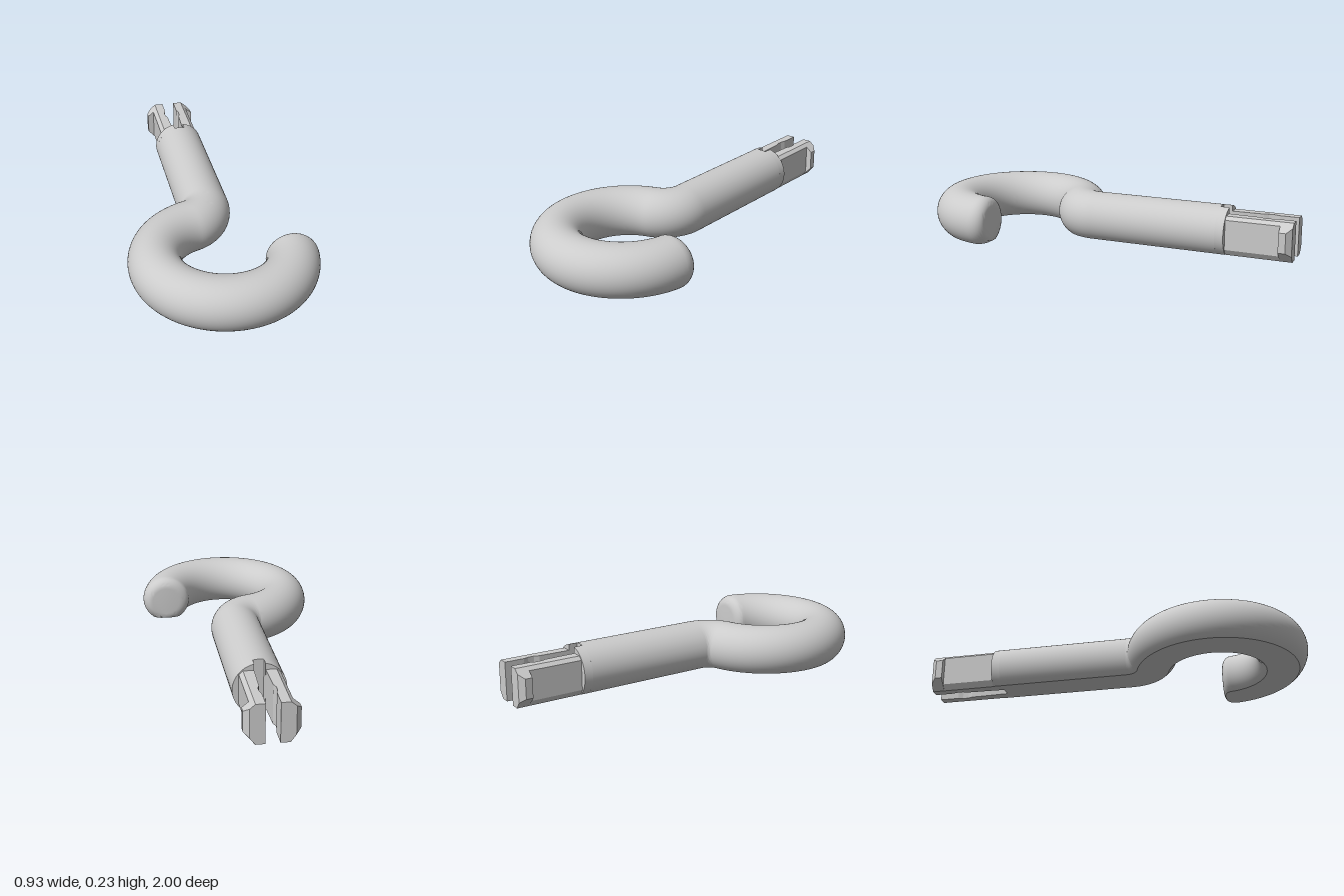
import * as THREE from 'three';
import { toCreasedNormals } from 'three/addons/utils/BufferGeometryUtils.js';

const R = 0.132, CY = 0.103;            // rod radius and height of its axis
const RING = 0.337, RING_Z = 0.53;      // hook ring
const BEND = 0.15, BEND_Z = 0.067;      // neck bend
const material = new THREE.MeshStandardMaterial({ color: 0xcccccc });

// Skins a list of equal-length closed convex sections, with end caps
function loft(name, sections, crease) {
  const n = sections[0].length, last = (sections.length - 1) * n, index = [];
  for (let i = 0; i < sections.length - 1; i++) {
    for (let j = 0; j < n; j++) {
      const k = (j + 1) % n, a = i * n + j, b = i * n + k;
      index.push(a, b, b + n, a, b + n, a + n);
    }
  }
  for (let j = 1; j < n - 1; j++) {
    index.push(0, j + 1, j, last, last + j, last + j + 1);
  }
  const geometry = new THREE.BufferGeometry();
  geometry.setAttribute('position', new THREE.Float32BufferAttribute(sections.flat(2), 3));
  geometry.setIndex(index);
  const mesh = new THREE.Mesh(toCreasedNormals(geometry, crease), material);
  mesh.name = name;
  return mesh;
}

// Round section with a flat underside at y = 0, across direction (nx, nz)
function rodSection(x, z, nx, nz, r = R) {
  const low = r > CY ? Math.asin(CY / r) : Math.PI / 2;
  const points = [], steps = 44;
  for (let i = 0; i <= steps; i++) {
    const a = -low + (Math.PI + 2 * low) * i / steps;
    const u = r * Math.cos(a);
    points.push([x + nx * u, Math.max(0, CY + r * Math.sin(a)), z + nz * u]);
  }
  return points;
}

// Hook, neck and shaft as one swept rod
function hookRod() {
  const sections = [];
  const onRing = (t, r) => {
    const c = Math.cos(t), s = Math.sin(t);
    sections.push(rodSection(RING * c, RING_Z + RING * s, c, s, r));
  };
  const fillet = 0.055, tipAngle = fillet / RING;
  const meet = Math.atan2(RING_Z - BEND_Z, BEND);
  // rounded tip
  for (let i = 0; i < 8; i++) {
    const a = i / 8 * Math.PI / 2;
    onRing(tipAngle * (1 - Math.cos(a)), R - fillet + fillet * Math.sin(a));
  }
  // ring
  for (let i = 0; i <= 72; i++) onRing(tipAngle + (Math.PI + meet - tipAngle) * i / 72, R);
  // bend into the shaft
  for (let i = 1; i <= 20; i++) {
    const a = meet * (1 - i / 20), c = Math.cos(a), s = Math.sin(a);
    sections.push(rodSection(-BEND + BEND * c, BEND_Z + BEND * s, -c, -s));
  }
  sections.push(rodSection(0, -0.615, -1, 0));
  return loft('hookRod', sections, 0.6);
}

// Sections given for the -x side; the +x side is mirrored with reversed order
const forSide = (sections, side) => side < 0 ? sections
  : sections.map(s => s.map(([x, y, z]) => [-x, y, z]).reverse());

// Half of the shaft end beside the slot
function slottedShaft(side) {
  const inner = 0.027, a = Math.asin(CY / R), b = Math.acos(inner / R);
  const section = z => {
    const points = [[-inner, 0, z]];
    for (let i = 0; i <= 24; i++) {
      const t = -a + (a + b) * i / 24;
      points.push([-R * Math.cos(t), Math.max(0, CY + R * Math.sin(t)), z]);
    }
    return points;
  };
  return loft('slottedShaft', forSide([section(-0.615), section(-0.66)], side), 0.5);
}

// Snap prong with a notched inner face and a chamfered barb
function prong(side) {
  const section = ([z, inner, outer]) => {
    const inset = 0.03 + Math.max(0, outer - 0.1) * 0.8;
    return [
      [-inner, 0, z], [-0.08, 0, z], [-outer, inset, z],
      [-outer, 0.213 - inset, z], [-0.08, 0.2, z], [-inner, 0.2, z],
    ];
  };
  // z, inner x, outer x
  const stations = [
    [-0.66, 0.028, 0.1], [-0.82, 0.033, 0.1], [-0.845, 0.042, 0.1],
    [-0.875, 0.042, 0.1], [-0.9, 0.034, 0.1], [-0.937, 0.034, 0.1],
    [-0.937, 0.034, 0.132], [-0.973, 0.034, 0.132], [-1, 0.034, 0.106],
  ];
  return loft('prong', forSide(stations.map(section), side), 0.1);
}

export function createModel() {
  const group = new THREE.Group();
  group.name = 'snapInHook';
  group.add(hookRod());
  for (const side of [-1, 1]) group.add(slottedShaft(side), prong(side));
  return group;
}
